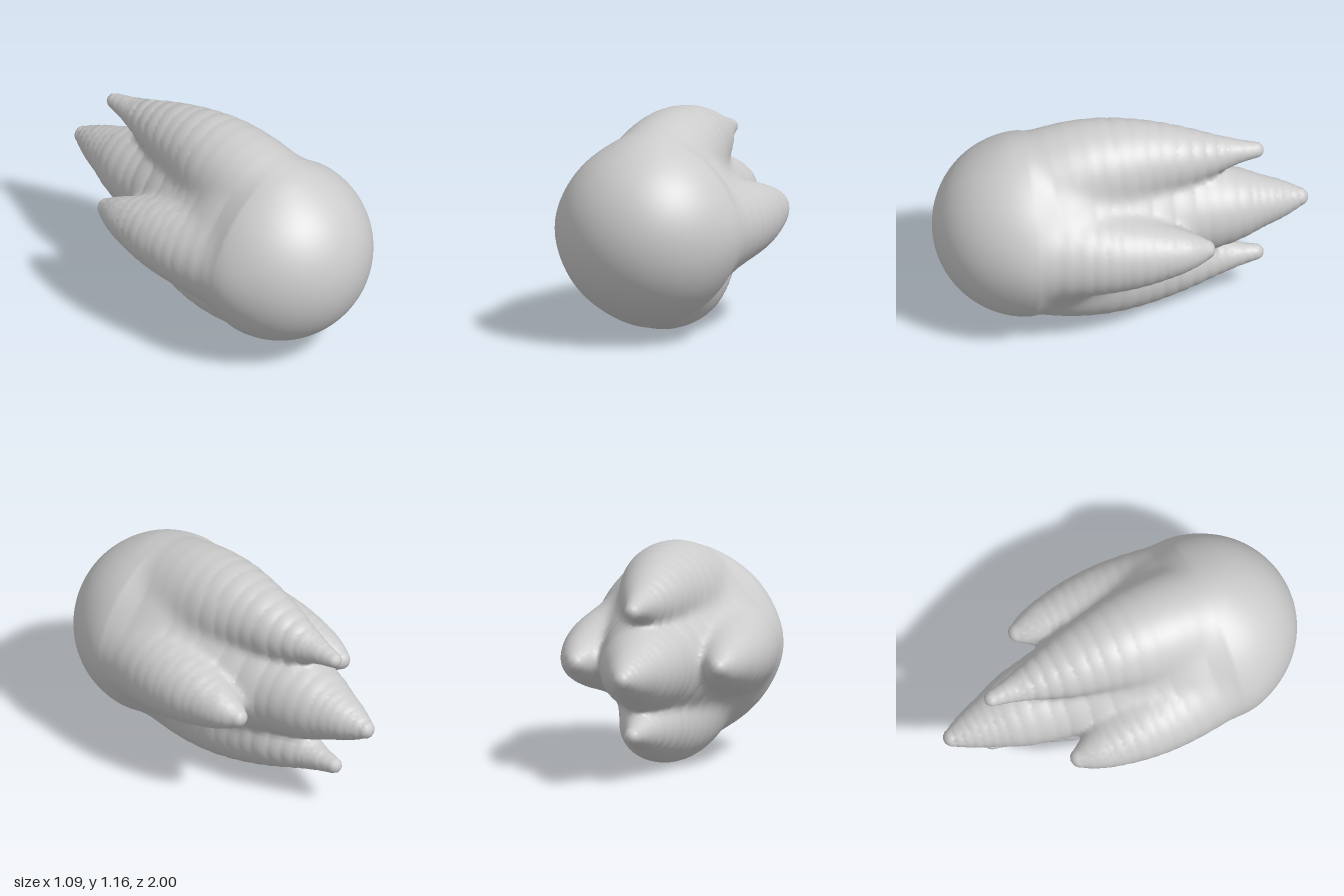
import * as THREE from 'three';

const MID = 0.59; // height of the long axis

// Limbs as spheres along a smooth path: [z, distance from axis, radius]
const CORE = [[0.51, 0, 0.49], [0.2, 0, 0.395], [0, 0, 0.34], [-0.34, 0, 0.252], [-0.54, 0, 0.21],
  [-0.7, 0, 0.15], [-0.82, 0, 0.108], [-0.95, 0, 0.05]];
const TALL_FLAME = [[0.5, 0.25, 0.26], [0.3, 0.298, 0.268], [0.1, 0.325, 0.255], [-0.1, 0.342, 0.212],
  [-0.3, 0.338, 0.163], [-0.5, 0.335, 0.1], [-0.6, 0.335, 0.07], [-0.72, 0.332, 0.043]];
const SIDE_FLAME = [[0.5, 0.24, 0.26], [0.2, 0.318, 0.225], [0, 0.353, 0.19], [-0.2, 0.377, 0.133],
  [-0.3, 0.385, 0.095], [-0.39, 0.387, 0.052]];

const smoothPath = (pts) =>
  new THREE.CatmullRomCurve3(pts.map((p) => new THREE.Vector3(...p))).getPoints(18);
const limbs = [
  { path: smoothPath(CORE), side: false },
  { path: smoothPath(TALL_FLAME), side: false },
  { path: smoothPath(SIDE_FLAME), side: true },
];

// Distance to a tapering limb
function limbDistance({ path, side }, x, y, z) {
  const radial = side ? x : y, across = side ? y : x;
  let best = Infinity;
  for (let i = 0; i < path.length - 1; i++) {
    const a = path[i], b = path[i + 1];
    const dz = b.x - a.x, dr = b.y - a.y;
    let t = ((z - a.x) * dz + (radial - a.y) * dr) / (dz * dz + dr * dr);
    t = Math.min(1, Math.max(0, t));
    const u = z - a.x - dz * t, v = radial - a.y - dr * t;
    best = Math.min(best, Math.sqrt(u * u + v * v + across * across) - a.z - (b.z - a.z) * t);
  }
  return best;
}

// Soft union of the limbs, mirrored in x and y
function field(x, y, z) {
  const d = limbs.map((l) => limbDistance(l, Math.abs(x), Math.abs(y), z));
  const m = Math.min(...d), s = 40;
  return m - Math.log(d.reduce((sum, v) => sum + Math.exp((m - v) * s), 0)) / s;
}

function gradient(p) {
  const e = 0.004;
  return new THREE.Vector3(
    field(p.x + e, p.y, p.z) - field(p.x - e, p.y, p.z),
    field(p.x, p.y + e, p.z) - field(p.x, p.y - e, p.z),
    field(p.x, p.y, p.z + e) - field(p.x, p.y, p.z - e)
  ).divideScalar(2 * e);
}

// Skin the field with a regular net of quads
function skinGeometry(h, half) {
  const n = half.map((v) => 2 * Math.ceil(v / h) + 2);
  const step = [1, n[0], n[0] * n[1]];
  const at = (i, axis) => (i - (n[axis] - 1) / 2) * h;
  const values = new Float32Array(n[0] * n[1] * n[2]);
  const eachPoint = (fn) => {
    for (let k = 0; k < n[2]; k++)
      for (let j = 0; j < n[1]; j++)
        for (let i = 0; i < n[0]; i++) fn([i, j, k], i + j * step[1] + k * step[2]);
  };
  eachPoint(([i, j, k], id) => { values[id] = field(at(i, 0), at(j, 1), at(k, 2)); });

  // One vertex in each crossed cell, pulled onto the surface
  const cellVertex = new Int32Array(values.length).fill(-1);
  const positions = [], normals = [], index = [];
  eachPoint((c, id) => {
    if (c.some((v, a) => v >= n[a] - 1)) return;
    const corners = [];
    for (let q = 0; q < 8; q++) {
      corners.push(values[id + (q & 1) + ((q >> 1) & 1) * step[1] + (q >> 2) * step[2]]);
    }
    const inside = corners.filter((v) => v < 0).length;
    if (inside === 0 || inside === 8) return;
    const p = new THREE.Vector3();
    let count = 0;
    for (let q = 0; q < 8; q++) {
      for (const bit of [1, 2, 4]) {
        if (q & bit || corners[q] < 0 === corners[q | bit] < 0) continue;
        const t = corners[q] / (corners[q] - corners[q | bit]);
        p.x += (q & 1) + (bit === 1 ? t : 0);
        p.y += ((q >> 1) & 1) + (bit === 2 ? t : 0);
        p.z += (q >> 2) + (bit === 4 ? t : 0);
        count++;
      }
    }
    p.divideScalar(count).set(at(c[0] + p.x, 0), at(c[1] + p.y, 1), at(c[2] + p.z, 2));
    for (let r = 0; r < 2; r++) {
      const g = gradient(p);
      p.addScaledVector(g, -field(p.x, p.y, p.z) / Math.max(0.2, g.lengthSq()));
    }
    cellVertex[id] = positions.length / 3;
    positions.push(p.x, p.y, p.z);
    normals.push(...gradient(p).normalize().toArray());
  });

  // One quad around each crossed grid edge
  eachPoint((c, id) => {
    for (let a = 0; a < 3; a++) {
      const b = (a + 1) % 3, d = (a + 2) % 3;
      if (c[a] >= n[a] - 1 || c[b] < 1 || c[d] < 1) continue;
      const inside = values[id] < 0;
      if (inside === values[id + step[a]] < 0) continue;
      const quad = [id, id - step[b], id - step[b] - step[d], id - step[d]].map((v) => cellVertex[v]);
      if (!inside) quad.reverse();
      index.push(quad[0], quad[1], quad[2], quad[0], quad[2], quad[3]);
    }
  });

  const geometry = new THREE.BufferGeometry();
  geometry.setAttribute('position', new THREE.Float32BufferAttribute(positions, 3));
  geometry.setAttribute('normal', new THREE.Float32BufferAttribute(normals, 3));
  geometry.setIndex(index);
  return geometry;
}

export function createModel() {
  const group = new THREE.Group();
  group.name = 'fireball';
  // Round head trailing a core flame and four outer flames
  const body = new THREE.Mesh(
    skinGeometry(0.024, [0.62, 0.66, 1.06]),
    new THREE.MeshStandardMaterial({ color: 0xcccccc })
  );
  body.name = 'flameBody';
  body.position.y = MID;
  group.add(body);
  return group;
}
